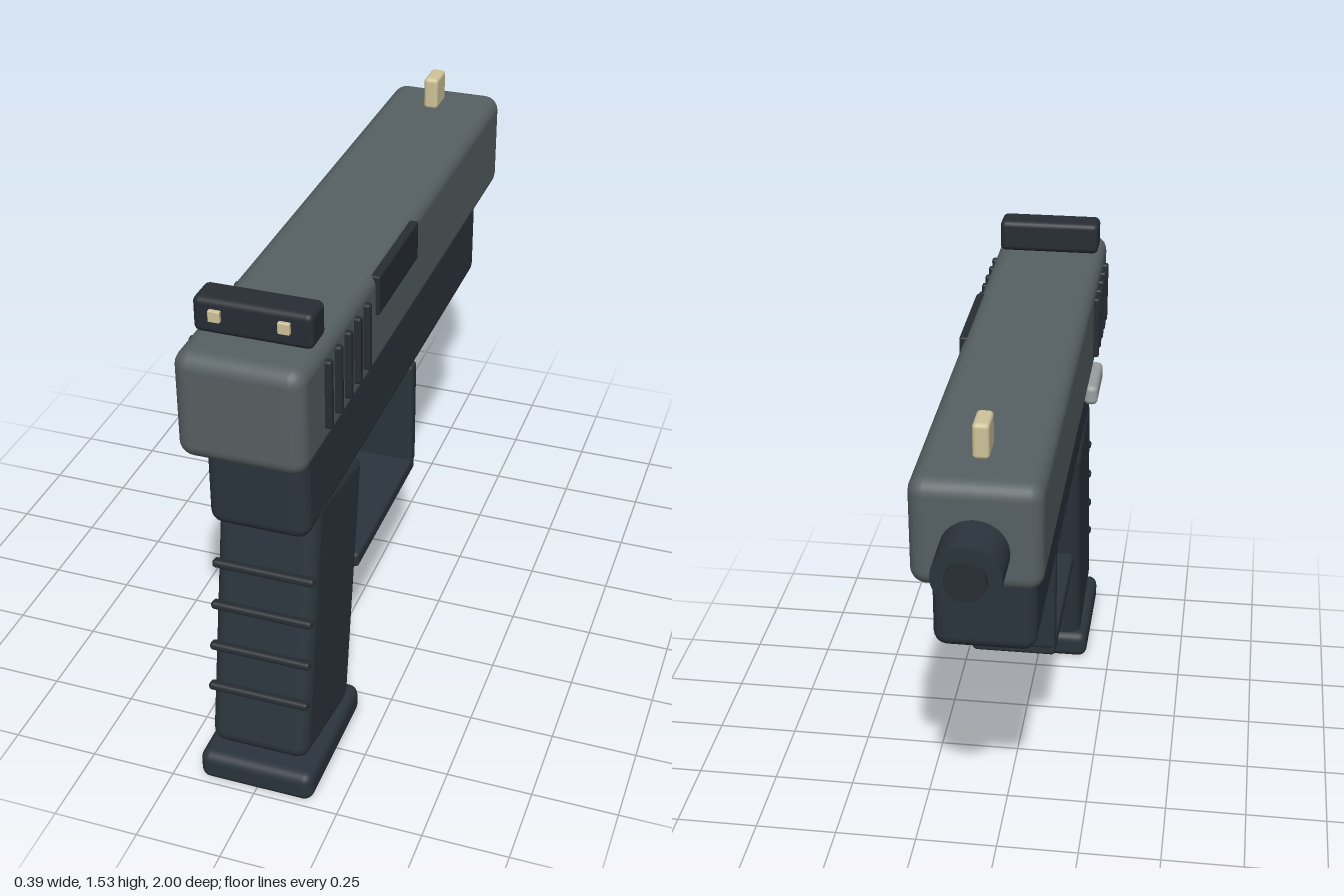
import * as THREE from 'three';
import { RoundedBoxGeometry } from 'three/addons/geometries/RoundedBoxGeometry.js';

const material = (name, color) => {
  const m = new THREE.MeshStandardMaterial({ color });
  m.name = name;
  return m;
};

export function createModel() {
  const steel = material('slideGrey', 0x566062);
  const polymer = material('frameBlue', 0x2b343d);
  const dark = material('darkTrim', 0x272d34);
  const silver = material('silver', 0x98a19f);
  const cream = material('cream', 0xd0c49a);

  const group = new THREE.Group();
  const add = (name, geometry, mat, x, y, z, tilt = 0) => {
    const mesh = new THREE.Mesh(geometry, mat);
    mesh.name = name;
    mesh.position.set(x, y, z);
    mesh.rotation.x = tilt;
    group.add(mesh);
    return mesh;
  };
  // Rounded box: size, then centre, then tilt around x
  const box = (name, mat, [w, h, d], radius, [x, y, z], tilt = 0) =>
    add(name, new RoundedBoxGeometry(w, h, d, 3, radius), mat, x, y, z, tilt);

  // Slide and frame
  box('slide', steel, [0.35, 0.31, 1.845], 0.045, [0, 1.27, 0.0775]);
  box('frame', polymer, [0.285, 0.28, 1.61], 0.04, [0, 0.985, 0.095]);

  // Grip, base plate and back ridges
  box('grip', polymer, [0.289, 0.81, 0.38], 0.04, [0, 0.487, 0.702], -0.178);
  box('basePlate', polymer, [0.34, 0.095, 0.43], 0.03, [0, 0.0475, 0.775]);
  for (let i = 0; i < 4; i++) {
    box('gripRidge', dark, [0.294, 0.024, 0.03], 0.01, [0, 0.695 - i * 0.127, 0.865 + i * 0.0225], -0.178);
  }

  // Trigger and its guard
  box('trigger', silver, [0.085, 0.22, 0.078], 0.022, [0, 0.733, 0.215], -0.3);
  box('guardBottom', polymer, [0.26, 0.05, 0.56], 0.014, [0, 0.465, 0.18]);
  box('guardFront', polymer, [0.26, 0.365, 0.05], 0.014, [0, 0.652, -0.083]);

  // Ejection port, serrations and slide release
  box('ejectionPort', dark, [0.03, 0.118, 0.35], 0.006, [0.171, 1.353, 0.265]);
  for (const side of [-1, 1]) {
    for (let i = 0; i < 5; i++) {
      box('serration', dark, [0.024, 0.2, 0.024], 0.008, [side * 0.181, 1.28, 0.832 - i * 0.0757]);
    }
  }
  box('slideRelease', silver, [0.044, 0.066, 0.21], 0.018, [-0.177, 1.084, 0.535]);

  // Sights
  box('rearSight', dark, [0.32, 0.1, 0.097], 0.018, [0, 1.475, 0.833]);
  for (const x of [-0.092, 0.092]) {
    box('sightDot', cream, [0.032, 0.032, 0.014], 0.003, [x, 1.49, 0.898]);
  }
  box('frontSight', cream, [0.045, 0.1, 0.095], 0.012, [0, 1.483, -0.677]);

  // Barrel and muzzle, pointing along -z
  const cylinder = (name, mat, radius, z0, z1) =>
    add(name, new THREE.CylinderGeometry(radius, radius, z0 - z1, 28), mat, 0, 1.235, (z0 + z1) / 2, Math.PI / 2);
  cylinder('barrel', polymer, 0.092, -0.7, -0.983);
  cylinder('muzzle', dark, 0.055, -0.9, -1);

  return group;
}
